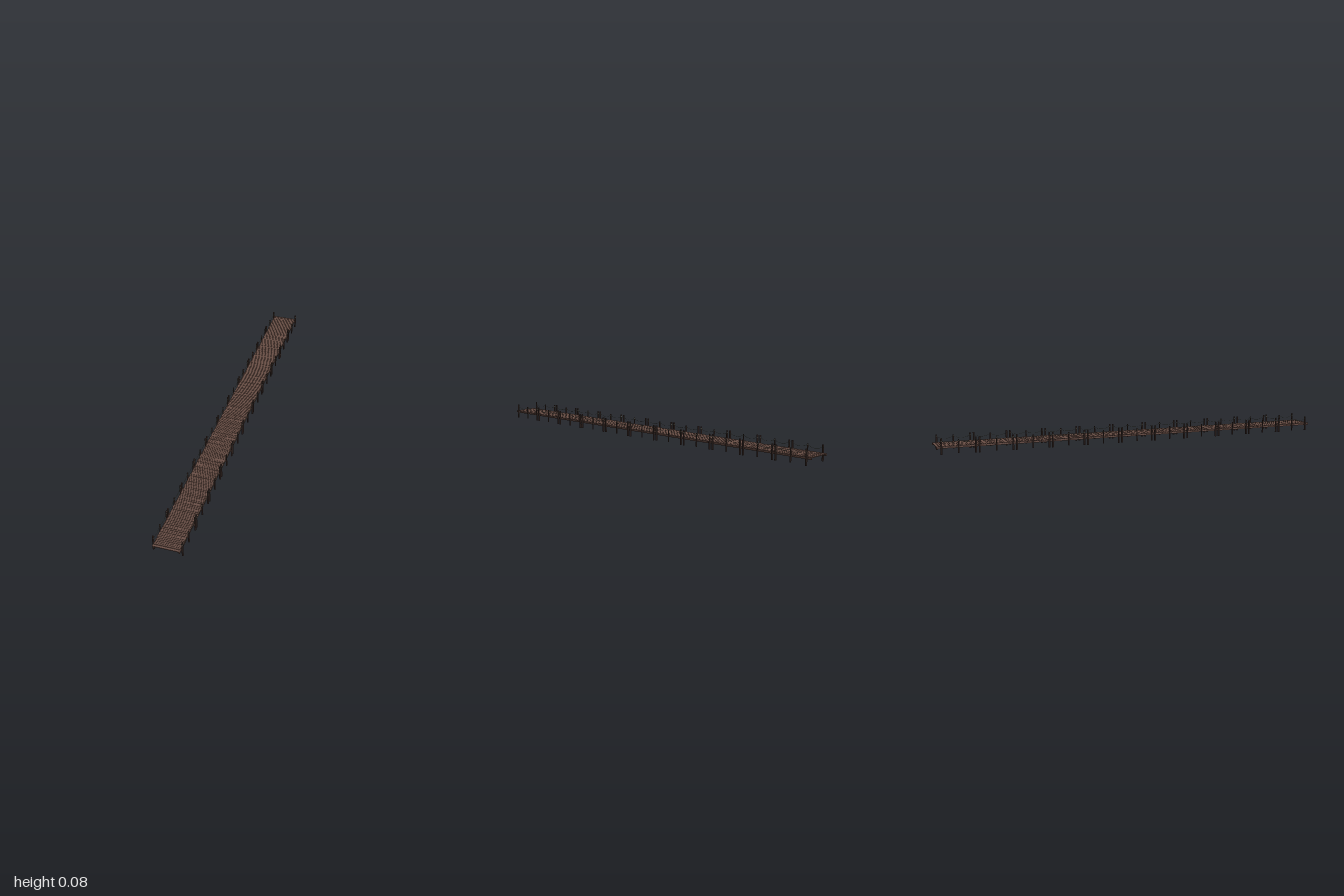
import * as THREE from 'three';
import { mergeGeometries } from 'three/addons/utils/BufferGeometryUtils.js';

const SECTIONS = 11, PITCH = 0.1793, REACH = 0.1035, POST_STEP = 0.081;
const PLANKS = 18;

// small seeded generator, returns -1..1
let seed = 7;
const jitter = () => {
  seed = (seed * 16807) % 2147483647;
  return (seed / 2147483647) * 2 - 1;
};

const mat = (color) => new THREE.MeshStandardMaterial({ color, flatShading: true, roughness: 0.9 });
const plankMat = mat(0x6b5047);
const beamMat = mat(0x654a41);
const postMat = mat(0x46342f);
const ropeMat = mat(0x59604f);

function add(group, name, geometries, material) {
  const mesh = new THREE.Mesh(mergeGeometries(geometries), material);
  mesh.name = name;
  group.add(mesh);
}

const box = (w, h, d, x, y, z) => new THREE.BoxGeometry(w, h, d).translate(x, y, z);

// rough round post with slight taper, standing on y0
function post(x, z, radius, y0, y1) {
  return new THREE.CylinderGeometry(radius * 0.9, radius, y1 - y0, 8)
    .rotateY(jitter())
    .translate(x, (y0 + y1) / 2, z);
}

// rope sagging between two points on one side
function rope(x, z0, z1) {
  const pts = [0, 0.25, 0.5, 0.75, 1].map((t) =>
    new THREE.Vector3(x, 0.064 - 0.011 * 4 * t * (1 - t), z0 + (z1 - z0) * t));
  return new THREE.TubeGeometry(new THREE.CatmullRomCurve3(pts), 12, 0.0007, 5);
}

function section(zc) {
  const group = new THREE.Group();
  group.name = 'dockSection';
  const planks = [], beams = [], posts = [], ropes = [];

  // deck boards with uneven ends
  const step = PITCH / PLANKS;
  for (let i = 0; i < PLANKS; i++) {
    const z = -PITCH / 2 + (i + 0.5) * step;
    const board = box(0.127 + jitter() * 0.003, 0.0035, step * 0.86, 0, 0, 0);
    board.rotateY(jitter() * 0.006);
    planks.push(board.translate(-0.001 + jitter() * 0.001, 0.0365 + jitter() * 0.0005, z));
  }

  // long side beams and cross beams under the boards
  for (const s of [-1, 1]) {
    beams.push(box(0.006, 0.007, REACH * 2, s * 0.0585, 0.0315, 0));
  }
  for (const k of [-1, 0, 1]) {
    beams.push(box(0.128, 0.005, 0.006, 0, 0.0305, k * POST_STEP));
  }

  // posts: thick pairs at the ends, thinner ones in the middle
  for (const s of [-1, 1]) {
    const x = s * 0.0662;
    for (const k of [-1, 0, 1]) {
      const end = k !== 0;
      const r = end ? 0.0046 : 0.0036;
      posts.push(post(x + jitter() * 0.0005, k * POST_STEP, r, end ? 0 : 0.003, end ? 0.075 : 0.069));
      // rope loop tied round the post
      ropes.push(new THREE.TorusGeometry(r + 0.0001, 0.0008, 5, 10)
        .rotateX(Math.PI / 2).translate(x, 0.064, k * POST_STEP));
    }
    ropes.push(rope(x, -POST_STEP, 0), rope(x, 0, POST_STEP));
  }

  add(group, 'planks', planks, plankMat);
  add(group, 'beams', beams, beamMat);
  add(group, 'posts', posts, postMat);
  add(group, 'ropes', ropes, ropeMat);
  group.position.z = zc;
  return group;
}

export function createModel() {
  seed = 7;
  const dock = new THREE.Group();
  dock.name = 'dock';
  for (let i = 0; i < SECTIONS; i++) dock.add(section((i - (SECTIONS - 1) / 2) * PITCH));

  // extra boards on the overhang at both ends
  const ends = [];
  for (const s of [-1, 1]) {
    ends.push(box(0.128, 0.0035, 0.012, -0.001, 0.0365, s * 0.994));
  }
  add(dock, 'endBoards', ends, plankMat);
  return dock;
}
